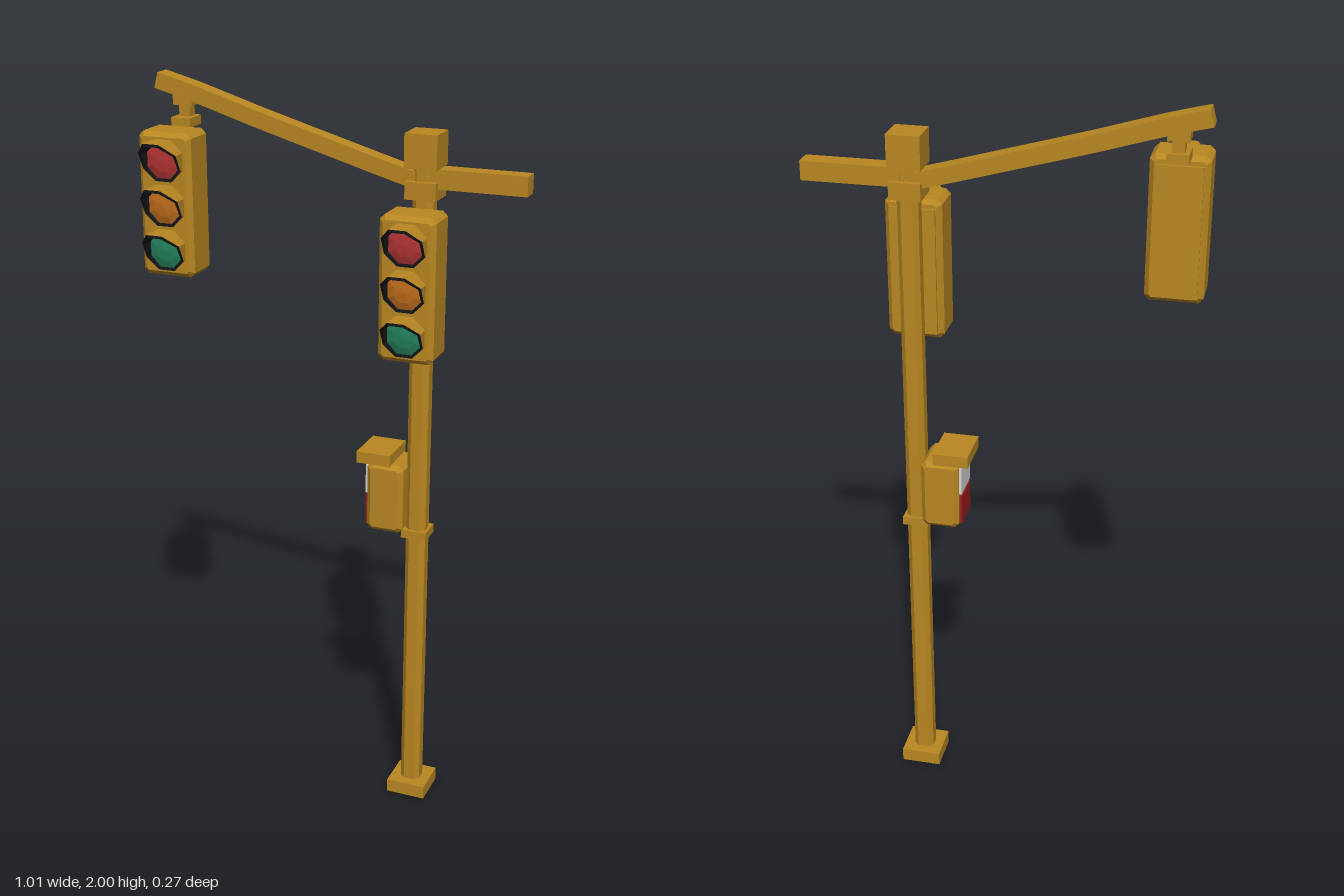
import * as THREE from 'three';

const mat = (name, color, extra = {}) => Object.assign(new THREE.MeshStandardMaterial({ color, ...extra }), { name });

export function createModel() {
  const group = new THREE.Group();
  const mustard = mat('mustard paint', 0xb98822);
  const black = mat('black', 0x15171a);
  const red = mat('red lens', 0xb23434);
  const amber = mat('amber lens', 0xbf6c1c);
  const green = mat('green lens', 0x23805a);
  const white = mat('white label', 0xd8d8d8);
  const labelRed = mat('red label', 0x9c1f1f);
  const POLE_X = 0.235, POLE_Z = -0.073;

  const add = (parent, name, geo, material, x = 0, y = 0, z = 0) => {
    const m = new THREE.Mesh(geo, material);
    m.name = name;
    m.position.set(x, y, z);
    parent.add(m);
    return m;
  };
  // box given by its minimum and maximum on each axis
  const box = (parent, name, [x0, x1], [y0, y1], [z0, z1], material = mustard) =>
    add(parent, name, new THREE.BoxGeometry(x1 - x0, y1 - y0, z1 - z0), material,
      (x0 + x1) / 2, (y0 + y1) / 2, (z0 + z1) / 2);

  // rectangle with cut corners
  const cutRect = (w, h, c) => new THREE.Shape([
    [w / 2, -h / 2 + c], [w / 2, h / 2 - c], [w / 2 - c, h / 2], [-w / 2 + c, h / 2],
    [-w / 2, h / 2 - c], [-w / 2, -h / 2 + c], [-w / 2 + c, -h / 2], [w / 2 - c, -h / 2],
  ].map(([x, y]) => new THREE.Vector2(x, y)));
  // box with all edges chamfered, centred
  const bevelBox = (w, h, d, b) => new THREE.ExtrudeGeometry(cutRect(w - 2 * b, h - 2 * b, b * 0.5), {
    depth: d - 2 * b, bevelEnabled: true, bevelThickness: b, bevelSize: b, bevelSegments: 1,
  }).translate(0, 0, b - d / 2);

  // pole, foot, collars and cap
  const pole = new THREE.ExtrudeGeometry(cutRect(0.055, 0.055, 0.013), { depth: 1.8, bevelEnabled: false });
  add(group, 'pole', pole.rotateX(-Math.PI / 2), mustard, POLE_X, 0.02, POLE_Z);
  const around = (name, w, y0, y1) => box(group, name,
    [POLE_X - w / 2, POLE_X + w / 2], [y0, y1], [POLE_Z - w / 2, POLE_Z + w / 2]);
  around('foot', 0.11, 0, 0.038);
  around('cabinetBand', 0.07, 0.802, 0.825);
  around('armCollar', 0.082, 1.73, 1.775);
  around('poleCap', 0.086, 1.808, 1.895);

  // short straight arm
  box(group, 'shortArm', [POLE_X, 0.505], [1.758, 1.808], [-0.099, -0.049]);

  // long arm: a bar of even thickness swept along a gentle curve
  const spine = new THREE.CatmullRomCurve3([
    [-0.5, 1.98], [-0.4, 1.954], [-0.23, 1.902], [0, 1.836], [0.18, 1.785], [0.235, 1.772],
  ].map(([x, y]) => new THREE.Vector3(x, y, 0)));
  const upper = [], lower = [];
  for (let i = 0; i <= 10; i++) {
    const p = spine.getPoint(i / 10), t = spine.getTangent(i / 10);
    upper.push(new THREE.Vector2(p.x - t.y * 0.021, p.y + t.x * 0.021));
    lower.push(new THREE.Vector2(p.x + t.y * 0.021, p.y - t.x * 0.021));
  }
  add(group, 'longArm', new THREE.ExtrudeGeometry(new THREE.Shape([...lower, ...upper.reverse()]),
    { depth: 0.05, bevelEnabled: false }), mustard, 0, 0, -0.099);

  // hanger for the head on the long arm
  const HX = -0.425;
  box(group, 'hangerClamp', [HX - 0.027, HX + 0.027], [1.92, 1.95], [-0.1, -0.048]);
  box(group, 'hangerStem', [HX - 0.015, HX + 0.015], [1.88, 1.925], [-0.089, -0.059]);
  box(group, 'hangerPlate', [HX - 0.027, HX + 0.027], [1.866, 1.89], [-0.1, -0.035]);

  // visor: octagonal tube cut away obliquely, longest at the top
  const R = 0.058, RI = 0.05;
  const visorGeometries = () => {
    const ring = r => Array.from({ length: 8 }, (_, k) => {
      const a = Math.PI / 8 + k * Math.PI / 4;
      return [r * Math.cos(a), r * Math.sin(a), a];
    });
    const reach = a => {
      const s = Math.sin(a);
      return s > 0.6 ? 0.07 : s > 0 ? 0.037 : s > -0.6 ? 0.013 : 0.006;
    };
    const o = ring(R), n = ring(RI), outer = [], inner = [];
    const quad = (list, a, b, c, d) => list.push(...a, ...b, ...c, ...a, ...c, ...d);
    for (let k = 0; k < 8; k++) {
      const j = (k + 1) % 8;
      const back = p => [p[0], p[1], -0.002], front = p => [p[0], p[1], reach(p[2])];
      quad(outer, back(o[k]), back(o[j]), front(o[j]), front(o[k]));
      quad(inner, back(n[j]), back(n[k]), front(n[k]), front(n[j]));
      quad(inner, front(o[k]), front(o[j]), front(n[j]), front(n[k]));
    }
    return [outer, inner].map(list => {
      const g = new THREE.BufferGeometry();
      g.setAttribute('position', new THREE.Float32BufferAttribute(list, 3));
      g.computeVertexNormals();
      return g;
    });
  };
  const [visorOuter, visorInner] = visorGeometries();

  // shallow faceted lens dome
  const lensGeo = new THREE.LatheGeometry([[RI, 0], [0.03, 0.006], [0, 0.009]]
    .map(([x, y]) => new THREE.Vector2(x, y)), 8, Math.PI / 8).rotateX(Math.PI / 2).toNonIndexed();
  lensGeo.computeVertexNormals();

  const signalHead = (name, x, y) => {
    const head = new THREE.Group();
    head.name = name;
    head.position.set(x, y, 0);
    add(head, 'housing', bevelBox(0.148, 0.376, 0.11, 0.012), mustard, 0, 0, 0.011);
    add(head, 'backPanel', new THREE.BoxGeometry(0.118, 0.33, 0.012), mustard, 0, 0, -0.045);
    [['red', red, 0.117], ['amber', amber, 0], ['green', green, -0.117]].forEach(([label, m, dy]) => {
      add(head, label + 'Lens', lensGeo, m, 0, dy, 0.067);
      add(head, label + 'Visor', visorOuter, mustard, 0, dy, 0.065);
      add(head, label + 'VisorLining', visorInner, black, 0, dy, 0.065);
    });
    group.add(head);
  };
  signalHead('poleSignalHead', 0.236, 1.523);
  signalHead('hangingSignalHead', HX, 1.681);

  // control cabinet with overhanging lid and two side labels
  add(group, 'cabinet', bevelBox(0.102, 0.195, 0.126, 0.012), mustard, 0.159, 0.919, POLE_Z);
  box(group, 'cabinetLid', [0.08, 0.175], [1.013, 1.045], [-0.136, -0.011]);
  box(group, 'whiteLabel', [0.101, 0.11], [0.923, 1.003], [POLE_Z - 0.046, POLE_Z + 0.046], white);
  box(group, 'redLabel', [0.101, 0.11], [0.833, 0.915], [POLE_Z - 0.046, POLE_Z + 0.046], labelRed);

  return group;
}
